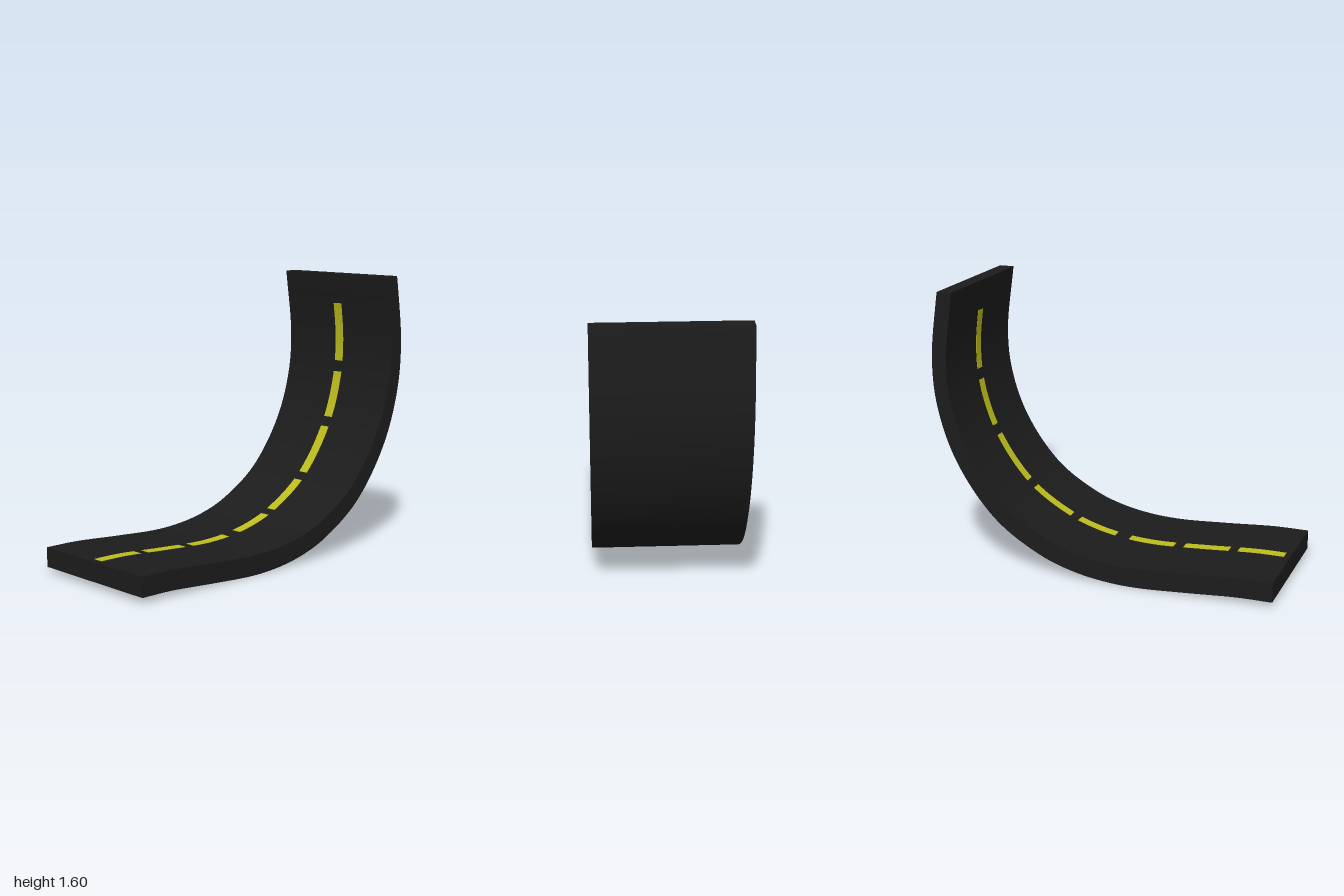
import * as THREE from 'three';
import { toCreasedNormals } from 'three/addons/utils/BufferGeometryUtils.js';

const TOP = 1.595;

// Driving surface in side profile; shape x is the model's -z.
const surface = new THREE.CatmullRomCurve3([
  [1, 0.142], [0.8, 0.142], [0.5, 0.124], [0.2, 0.111], [0, 0.125], [-0.17, 0.16],
  [-0.33, 0.22], [-0.58, 0.385], [-0.79, 0.668], [-0.89, 0.95], [-0.912, 1.2], [-0.865, TOP],
].map(([z, y]) => new THREE.Vector3(-z, y, 0)));

// Point sunk below the surface along its normal, by separate amounts in x and y.
function sunk(u, dx, dy) {
  const p = surface.getPointAt(u);
  const t = surface.getTangentAt(u);
  if (u === 0) t.set(1, 0, 0); // square-cut start
  return new THREE.Vector2(p.x + t.y * dx, Math.min(p.y - t.x * dy, TOP));
}

// Curved slab following the surface from u0 to u1.
function slab(name, u0, u1, width, segments, above, below, material) {
  const upper = [], lower = [];
  for (let i = 0; i <= segments; i++) {
    const u = u0 + (u1 - u0) * i / segments;
    upper.push(sunk(u, -above, -above));
    lower.push(sunk(u, ...below));
  }
  const shape = new THREE.Shape([...lower, ...upper.reverse()]);
  const geometry = new THREE.ExtrudeGeometry(shape, { depth: width, bevelEnabled: false });
  geometry.translate(0, 0, -width / 2).rotateY(Math.PI / 2);
  const mesh = new THREE.Mesh(toCreasedNormals(geometry, Math.PI / 6), material);
  mesh.name = name;
  return mesh;
}

// Curve parameter where (height - z), which grows steadily along the road, equals s.
function locate(s) {
  let lo = 0, hi = 1;
  for (let i = 0; i < 30; i++) {
    const mid = (lo + hi) / 2;
    const p = surface.getPointAt(mid);
    if (p.x + p.y < s) lo = mid; else hi = mid;
  }
  return lo;
}

export function createModel() {
  const group = new THREE.Group();
  group.name = 'curvedRoad';
  const asphalt = new THREE.MeshStandardMaterial({ color: 0x1c1c1c });
  const paint = new THREE.MeshStandardMaterial({ color: 0xbdbd1c });

  // Road deck
  group.add(slab('roadDeck', 0, 1, 0.83, 72, 0, [0.088, 0.112], asphalt));

  // Centre line dashes
  const dashes = [
    [-0.823, -0.558], [-0.507, -0.254], [-0.197, 0.083], [0.181, 0.478],
    [0.55, 0.928], [1.01, 1.458], [1.542, 1.895], [1.97, 2.305],
  ];
  dashes.forEach(([a, b], i) => {
    group.add(slab(`centreDash${i + 1}`, locate(a), locate(b), 0.062, 10, 0.002, [0.004, 0.004], paint));
  });
  return group;
}
